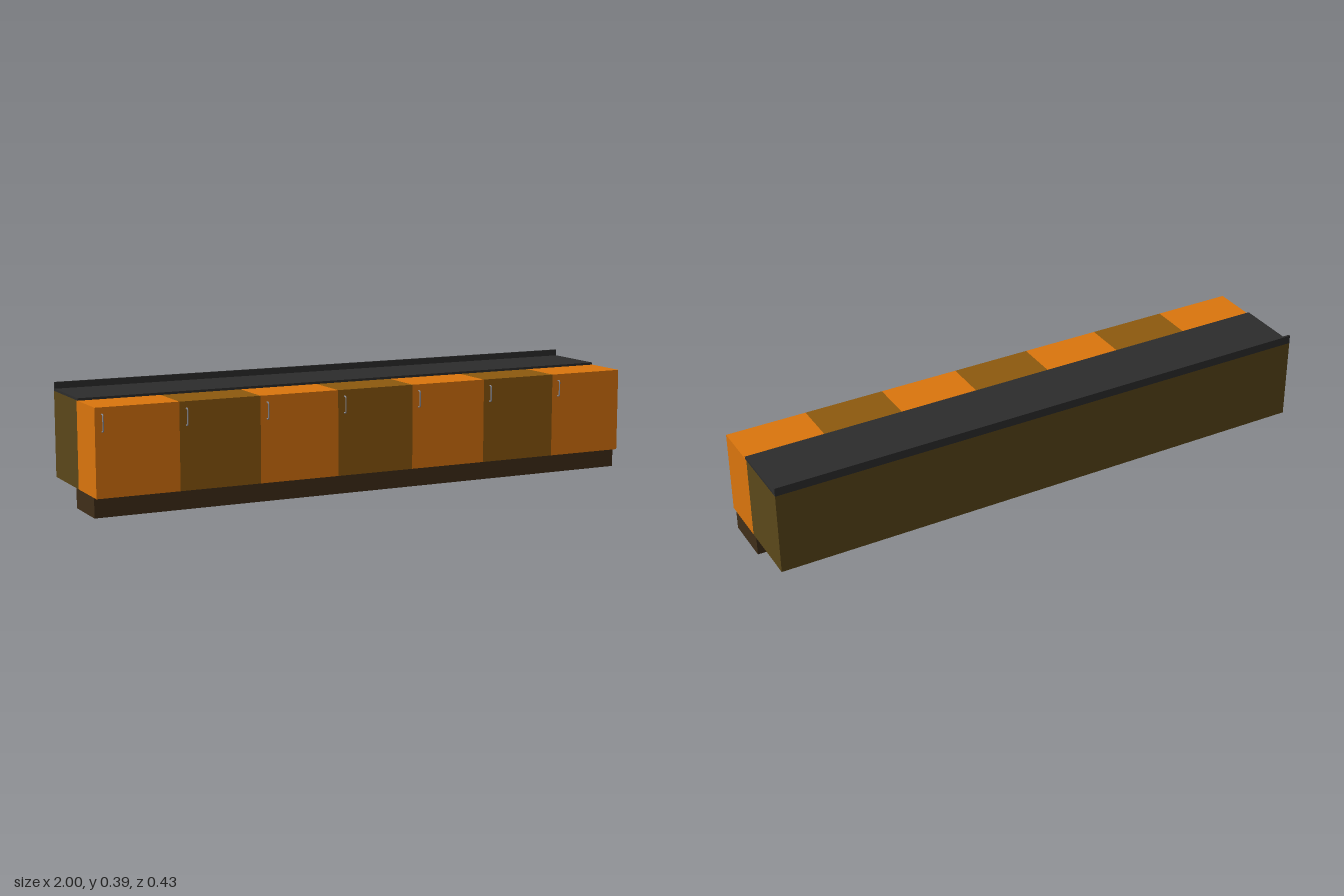
import * as THREE from 'three';

const UNITS = 7;
const WIDTH = 2 / UNITS;

const paint = (color) => new THREE.MeshStandardMaterial({ color });
const orange = paint(0xdc760d);
const brown = paint(0x8e5a0e);
const olive = paint(0x5c481a);
const darkWood = paint(0x402e19);
const slate = paint(0x2d2d2d);
const metal = paint(0x8c8c94);

// Box given by its limits on each axis
function box(name, material, [x0, x1], [y0, y1], [z0, z1]) {
  const mesh = new THREE.Mesh(new THREE.BoxGeometry(x1 - x0, y1 - y0, z1 - z0), material);
  mesh.name = name;
  mesh.position.set((x0 + x1) / 2, (y0 + y1) / 2, (z0 + z1) / 2);
  return mesh;
}

// Bow handle: straight grip with rounded corners running back into the door
function handleGeometry() {
  const z0 = 0.202, z1 = 0.2135, low = 0.2825, high = 0.3385, r = 0.006;
  const p = (y, z) => new THREE.Vector3(0, y, z);
  const path = new THREE.CurvePath();
  path.add(new THREE.LineCurve3(p(low, z0), p(low, z1 - r)));
  path.add(new THREE.QuadraticBezierCurve3(p(low, z1 - r), p(low, z1), p(low + r, z1)));
  path.add(new THREE.LineCurve3(p(low + r, z1), p(high - r, z1)));
  path.add(new THREE.QuadraticBezierCurve3(p(high - r, z1), p(high, z1), p(high, z1 - r)));
  path.add(new THREE.LineCurve3(p(high, z1 - r), p(high, z0)));
  return new THREE.TubeGeometry(path, 48, 0.0025, 8);
}

export function createModel() {
  const group = new THREE.Group();
  group.name = 'cabinetRow';
  const full = [-1, 1];

  // Long parts shared by the whole row
  group.add(
    box('carcass', olive, full, [0.067, 0.361], [-0.214, 0.025]),
    box('plinth', darkWood, full, [0, 0.067], [0.001, 0.179]),
    box('worktop', slate, full, [0.361, 0.369], [-0.214, 0.037]),
    box('backsplash', slate, full, [0.369, 0.391], [-0.214, -0.206]),
  );

  // Repeating units: alternating front, handle and support block
  const handle = handleGeometry();
  for (let i = 0; i < UNITS; i++) {
    const x = -1 + i * WIDTH;
    const unit = new THREE.Group();
    unit.name = `cabinetUnit${i + 1}`;
    unit.add(box('cabinetFront', i % 2 ? brown : orange, [x, x + WIDTH], [0.067, 0.361], [0.025, 0.203]));

    const grip = new THREE.Mesh(handle, metal);
    grip.name = 'doorHandle';
    grip.position.x = x + 0.024;
    unit.add(grip);

    const mid = x + WIDTH / 2;
    unit.add(box('supportBlock', olive, [mid - 0.064, mid + 0.064], [0.03, 0.067], [-0.036, 0.001]));
    group.add(unit);
  }
  return group;
}
